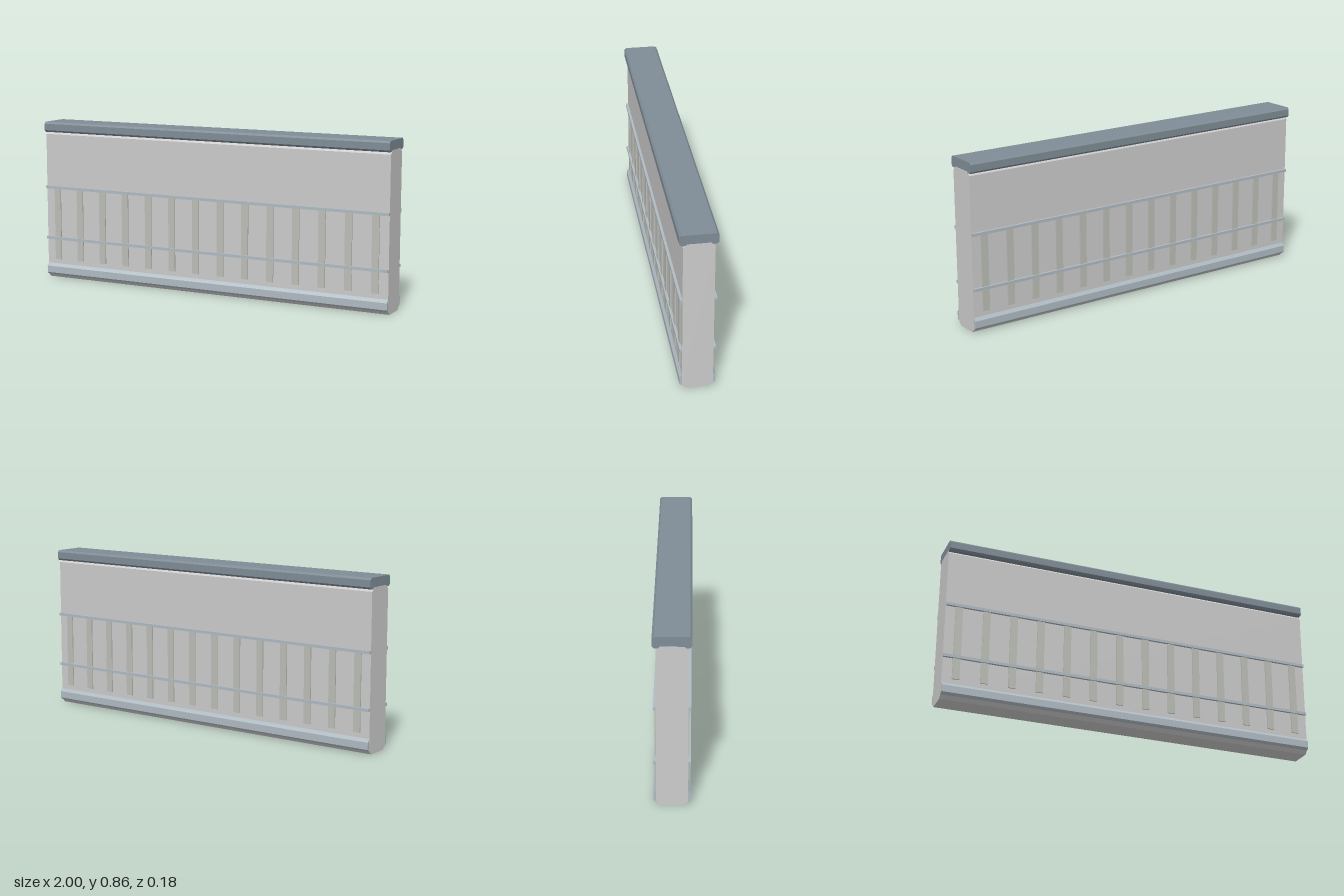
import * as THREE from 'three';

const LENGTH = 2;

// Extrude a [z, y] cross-section along x, centred on x = 0
function bar(name, section, length, material) {
  const shape = new THREE.Shape(section.map(([z, y]) => new THREE.Vector2(-z, y)));
  const geometry = new THREE.ExtrudeGeometry(shape, { depth: length, bevelEnabled: false });
  geometry.translate(0, 0, -length / 2).rotateY(Math.PI / 2);
  const mesh = new THREE.Mesh(geometry, material);
  mesh.name = name;
  return mesh;
}

// Symmetric section with chamfered corners: c = chamfer in z, d = chamfer in y
function chamfered(half, y0, y1, c, d) {
  const right = [[half - c, y0], [half, y0 + d], [half, y1 - d], [half - c, y1]];
  return [...right, ...right.map(([z, y]) => [-z, y]).reverse()];
}

export function createModel() {
  const group = new THREE.Group();
  group.name = 'wallPanel';
  const paint = (color) => new THREE.MeshStandardMaterial({ color, flatShading: true });
  const wallPaint = paint(0xcccccc);
  const capPaint = paint(0x7f8c96);
  const trimPaint = paint(0xafbbc2);
  const slatPaint = paint(0xbbbeb6);

  // Wall core and coping
  group.add(bar('wall', chamfered(0.075, 0, 0.815, 0.02, 0.02), LENGTH, wallPaint));
  group.add(bar('cap', chamfered(0.092, 0.807, 0.862, 0.01, 0.01), LENGTH - 0.001, capPaint));

  // Trim on both faces
  for (const side of [1, -1]) {
    const face = new THREE.Group();
    face.name = side > 0 ? 'frontTrim' : 'backTrim';

    const skirt = [[0.06, 0.018], [0.077, 0.018], [0.088, 0.028], [0.088, 0.064], [0.075, 0.08], [0.06, 0.08]];
    face.add(bar('skirting', skirt.map(([z, y]) => [side * z, y]), LENGTH - 0.001, trimPaint));

    // Horizontal rails
    for (const y of [0.223, 0.504]) {
      const rail = new THREE.Mesh(new THREE.BoxGeometry(LENGTH - 0.001, 0.015, 0.023), trimPaint);
      rail.name = 'rail';
      rail.position.set(0, y, side * 0.0765);
      face.add(rail);
    }

    // Vertical slats
    const slatGeometry = new THREE.BoxGeometry(0.038, 0.397, 0.016);
    for (let i = 0; i < 14; i++) {
      const slat = new THREE.Mesh(slatGeometry, slatPaint);
      slat.name = 'slat';
      slat.position.set(-0.93 + (i * 1.86) / 13, 0.3035, side * 0.073);
      face.add(slat);
    }
    group.add(face);
  }
  return group;
}
